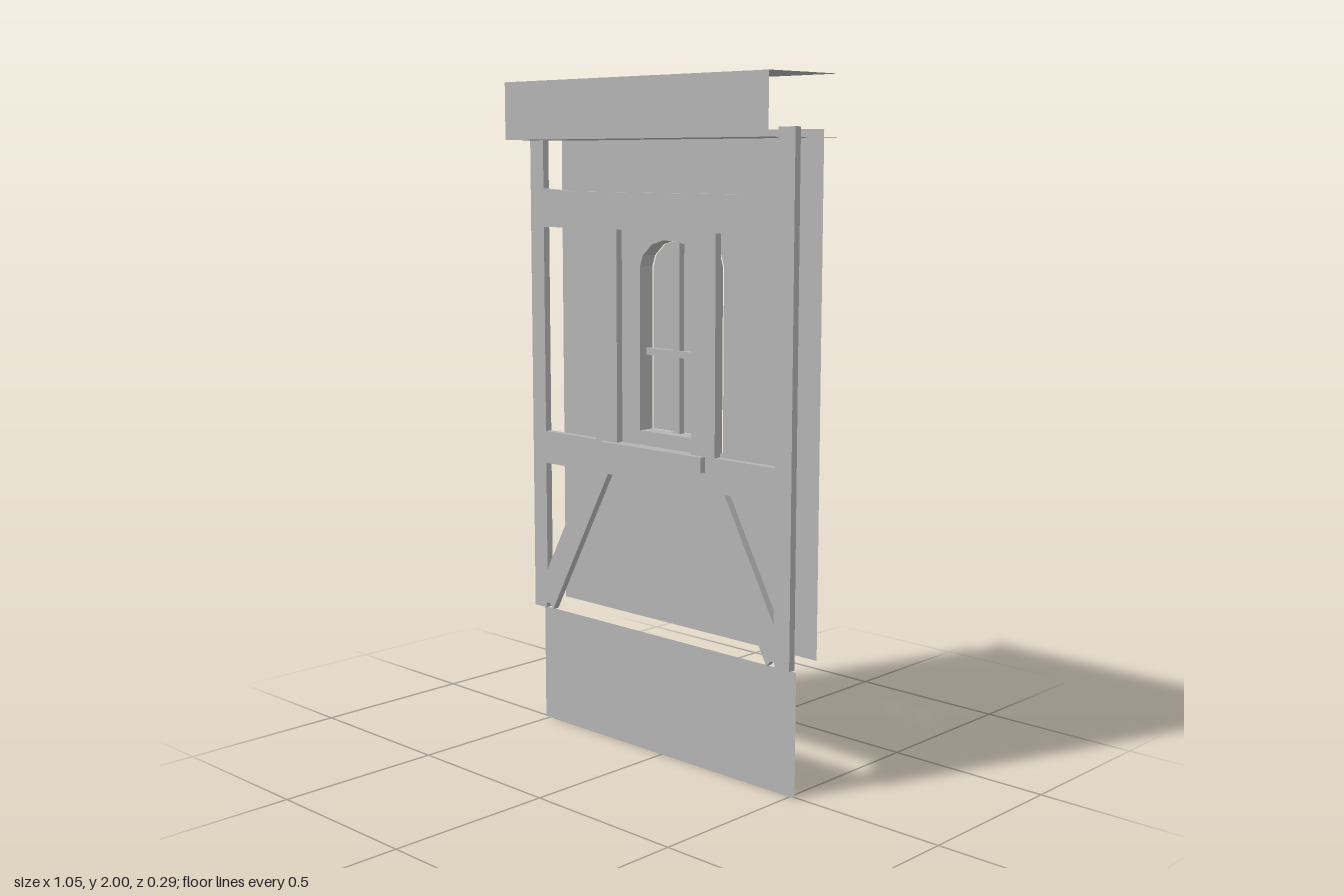
import * as THREE from 'three';

export function createModel() {
  const group = new THREE.Group();
  const grey = new THREE.MeshStandardMaterial({ color: 0xb4b4b4, side: THREE.DoubleSide });
  grey.name = 'plainGrey';

  const add = (name, geometry, x = 0, y = 0, z = 0) => {
    const mesh = new THREE.Mesh(geometry, grey);
    mesh.name = name;
    mesh.position.set(x, y, z);
    group.add(mesh);
    return mesh;
  };
  const toPoints = list => list.map(([x, y]) => new THREE.Vector2(x, y));
  const mirror = list => list.map(([x, y]) => [-x, y]).reverse();
  const rect = (x0, y0, x1, y1) => [[x0, y0], [x1, y0], [x1, y1], [x0, y1]];
  const shapeOf = (outline, holes = []) => {
    const shape = new THREE.Shape(toPoints(outline));
    shape.holes = holes.map(h => new THREE.Path(toPoints(h)));
    return shape;
  };
  const slab = (shape, depth) => new THREE.ExtrudeGeometry(shape, { depth, bevelEnabled: false });
  const sheet = (w, h) => new THREE.PlaneGeometry(w, h);

  // Plinth, fascia and the two horizontal sheets of the jetty
  const W = 1.036, D = 0.29;
  add('plinth', sheet(W, 0.365), 0, 0.1825, 0.006);
  add('fascia', sheet(W, 0.17), 0, 1.915, D / 2);
  add('topSheet', sheet(W, D), 0, 2, 0).rotation.x = -Math.PI / 2;
  add('lowerSheet', sheet(W, D), 0, 1.83, 0).rotation.x = -Math.PI / 2;

  // Timber frame: posts, rails and splayed braces in one slab, open at top and bottom
  const half = [
    [0.19, 0.84], [0.44, 0.376], [0.455, 0.392], [0.468, 0.392], [0.472, 0.376],
    [0.523, 0.376], [0.523, 1.858], [0.465, 1.858], [0.465, 1.685], [0.34, 1.678],
  ];
  const panel = rect(0.242, 0.94, 0.465, 1.57);
  const triangle = [[0.28, 0.84], [0.465, 0.5], [0.465, 0.84]];
  const frame = shapeOf([...half, ...mirror(half)], [
    panel, mirror(panel), triangle, mirror(triangle), rect(-0.15, 0.94, 0.15, 1.57),
  ]);
  add('timberFrame', slab(frame, 0.022), 0, 0, 0.02);
  add('windowSill', new THREE.BoxGeometry(0.41, 0.045, 0.02), 0, 0.917, 0.05);

  // Arched outlines of the window
  const arch = (w, bottom, spring, top) => {
    const h = top - spring;
    const side = [
      [w, bottom], [w, spring], [w * 0.9, spring + h * 0.42],
      [w * 0.6, spring + h * 0.83], [w * 0.22, top],
    ];
    return [...side, ...mirror(side)];
  };
  const outer = arch(0.16, 0.93, 1.47, 1.587);
  const inner = arch(0.122, 0.972, 1.46, 1.54);

  // Wall sheet behind the timber, pierced by the window
  const wall = shapeOf(rect(-0.518, 0.38, 0.518, 1.853), [outer]);
  add('wallSheet', new THREE.ShapeGeometry(wall), 0, 0, -0.084);

  // Window casing, glazing bars and pane
  add('windowCasing', slab(shapeOf(outer, [inner]), 0.053), 0, 0, -0.08);
  add('verticalBar', new THREE.BoxGeometry(0.027, 0.565, 0.02), 0, 1.255, -0.064);
  add('horizontalBar', new THREE.BoxGeometry(0.244, 0.02, 0.02), 0, 1.208, -0.064);
  add('pane', new THREE.ShapeGeometry(shapeOf(inner)), 0, 0, -0.085);

  return group;
}
